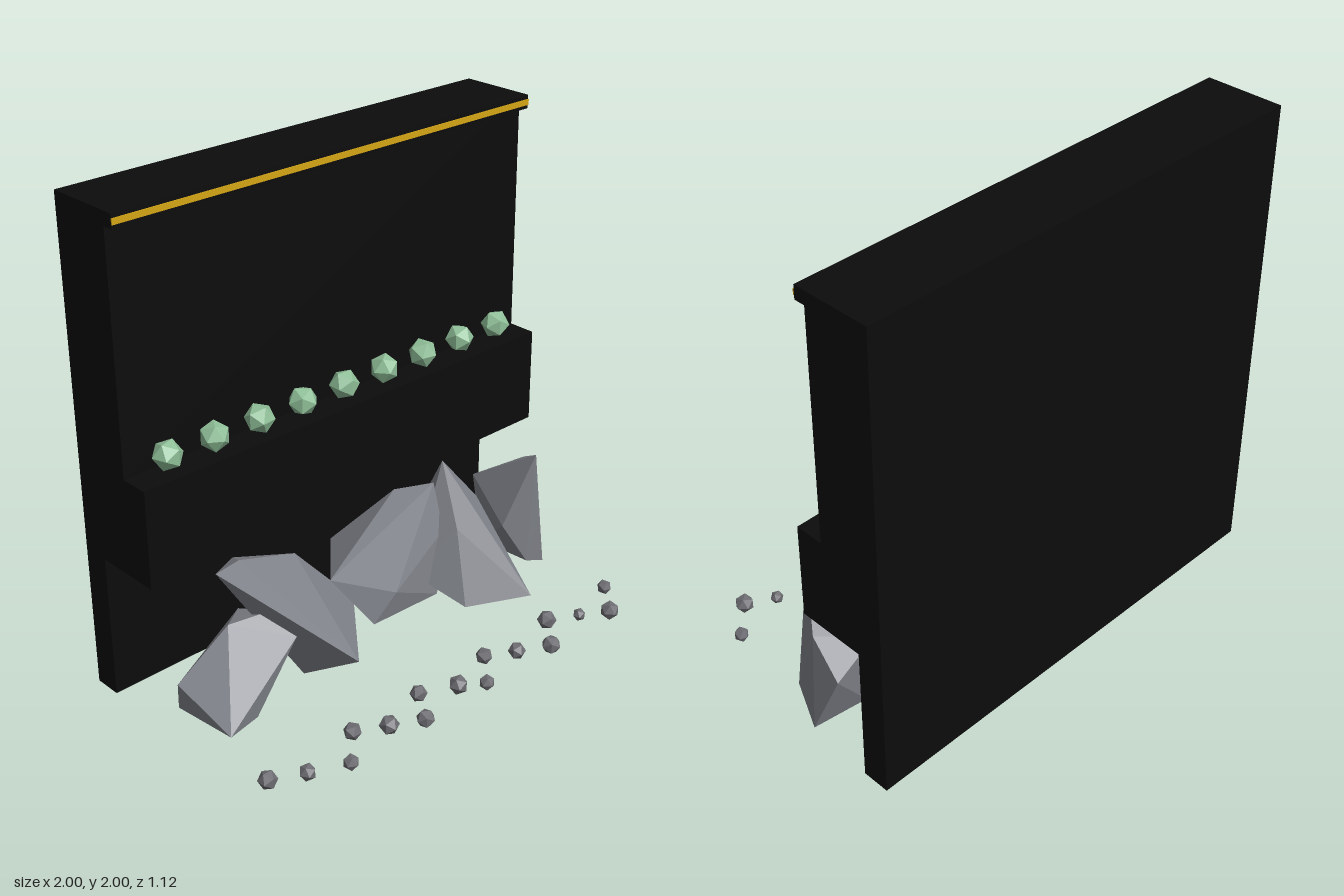
import * as THREE from 'three';
import { ConvexGeometry } from 'three/addons/geometries/ConvexGeometry.js';

const mat = (name, color, flatShading = true) => {
  const m = new THREE.MeshStandardMaterial({ color, flatShading });
  m.name = name;
  return m;
};

export function createModel() {
  const group = new THREE.Group();
  const black = mat('matteBlack', 0x0c0c0c);
  const gold = mat('goldTrim', 0xd4a514);
  const rockGrey = mat('rockGrey', 0x81848b);
  const pebbleGrey = mat('pebbleGrey', 0x6c6c72);
  const green = mat('succulentGreen', 0x8fbf98);

  const add = (name, geometry, material, x = 0, y = 0, z = 0) => {
    const mesh = new THREE.Mesh(geometry, material);
    mesh.name = name;
    mesh.position.set(x, y, z);
    group.add(mesh);
    return mesh;
  };
  // Full-width slab given by its height and depth ranges
  const slab = (name, y0, y1, z0, z1, material = black) =>
    add(name, new THREE.BoxGeometry(2, y1 - y0, z1 - z0), material, 0, (y0 + y1) / 2, (z0 + z1) / 2);

  // Wall with a recessed foot, projecting shelf and top lip
  slab('backWall', 0, 2, -0.565, -0.45);
  slab('upperWall', 1, 2, -0.45, -0.285);
  slab('shelf', 0.6, 1, -0.45, -0.165);
  slab('topLip', 1.945, 2, -0.285, -0.24);
  slab('goldStrip', 1.96, 1.983, -0.24, -0.235, gold);

  // Row of faceted plants on the shelf
  for (let i = 0; i < 9; i++) {
    const plant = add('plant', new THREE.IcosahedronGeometry(0.06, 0), green, -0.85 + i * 0.21, 1.07, -0.222);
    plant.rotation.y = i * 0.7 + 0.3;
  }

  // Boulders as hulls of a few corner points
  const boulders = {
    farRightBoulder: [
      [-0.91, 0.14, -0.17], [-0.7, 0.335, -0.12], [-0.54, 0.355, -0.06], [-0.5, 0.27, 0.04],
      [-0.58, 0.08, -0.05], [-0.71, 0.01, 0.05], [-0.87, 0.02, 0.09], [-0.89, 0.01, -0.2],
      [-0.55, 0.28, -0.25], [-0.65, 0.04, -0.28]],
    pointedBoulder: [
      [-0.62, 0.575, -0.14], [-0.7, 0.53, -0.18], [-0.39, 0.215, 0.265], [-0.04, 0.15, -0.15],
      [-0.42, 0.03, -0.02], [-0.18, 0.04, -0.1], [-0.3, 0.445, -0.2], [-0.5, 0.24, -0.1],
      [-0.55, 0.5, -0.27], [-0.25, 0.2, -0.36], [-0.3, 0.04, -0.25]],
    wideBoulder: [
      [-0.18, 0.3, -0.13], [0.42, 0.5, -0.16], [0.1, 0.16, -0.045], [0, 0.04, -0.07],
      [0.37, 0.02, -0.08], [0.42, 0.3, -0.1], [0.3, 0.47, -0.27], [0.1, 0.24, -0.445],
      [0.25, 0.03, -0.3]],
    peakedBoulder: [
      [0.49, 0.57, -0.18], [0.69, 0.33, -0.17], [0.645, 0.02, 0.2], [0.37, 0.03, 0.085],
      [0.29, 0.12, -0.15], [0.43, 0.33, -0.03], [0.61, 0.01, -0.25], [0.56, 0.26, -0.38]],
    farLeftBoulder: [
      [0.8, 0.575, 0.06], [0.95, 0.435, -0.14], [0.97, 0.32, -0.29], [0.99, 0.01, -0.16],
      [0.89, 0.02, 0.045], [0.685, 0.25, -0.01], [0.8, 0.05, 0.03], [0.78, 0.05, -0.22],
      [0.75, 0.38, -0.25], [0.84, 0.27, 0.055]],
  };
  for (const [name, points] of Object.entries(boulders))
    add(name, new ConvexGeometry(points.map(p => new THREE.Vector3(...p))), rockGrey);

  // Pebbles staggered over three rows: x position and radius
  const pebbles = [
    [-0.945, 0.038], [-0.815, 0.034], [-0.665, 0.032], [-0.54, 0.036], [-0.415, 0.04], [-0.29, 0.038],
    [-0.2, 0.035], [-0.05, 0.04], [0.04, 0.032], [0.16, 0.035], [0.28, 0.036], [0.41, 0.04],
    [0.53, 0.04], [0.655, 0.027], [0.77, 0.04], [0.89, 0.031]];
  pebbles.forEach(([x, r], i) => {
    const pebble = add('pebble', new THREE.IcosahedronGeometry(r, 0), pebbleGrey, x, 0.043, 0.39 + (i % 3) * 0.065);
    pebble.rotation.y = i * 0.5;
  });
  return group;
}
